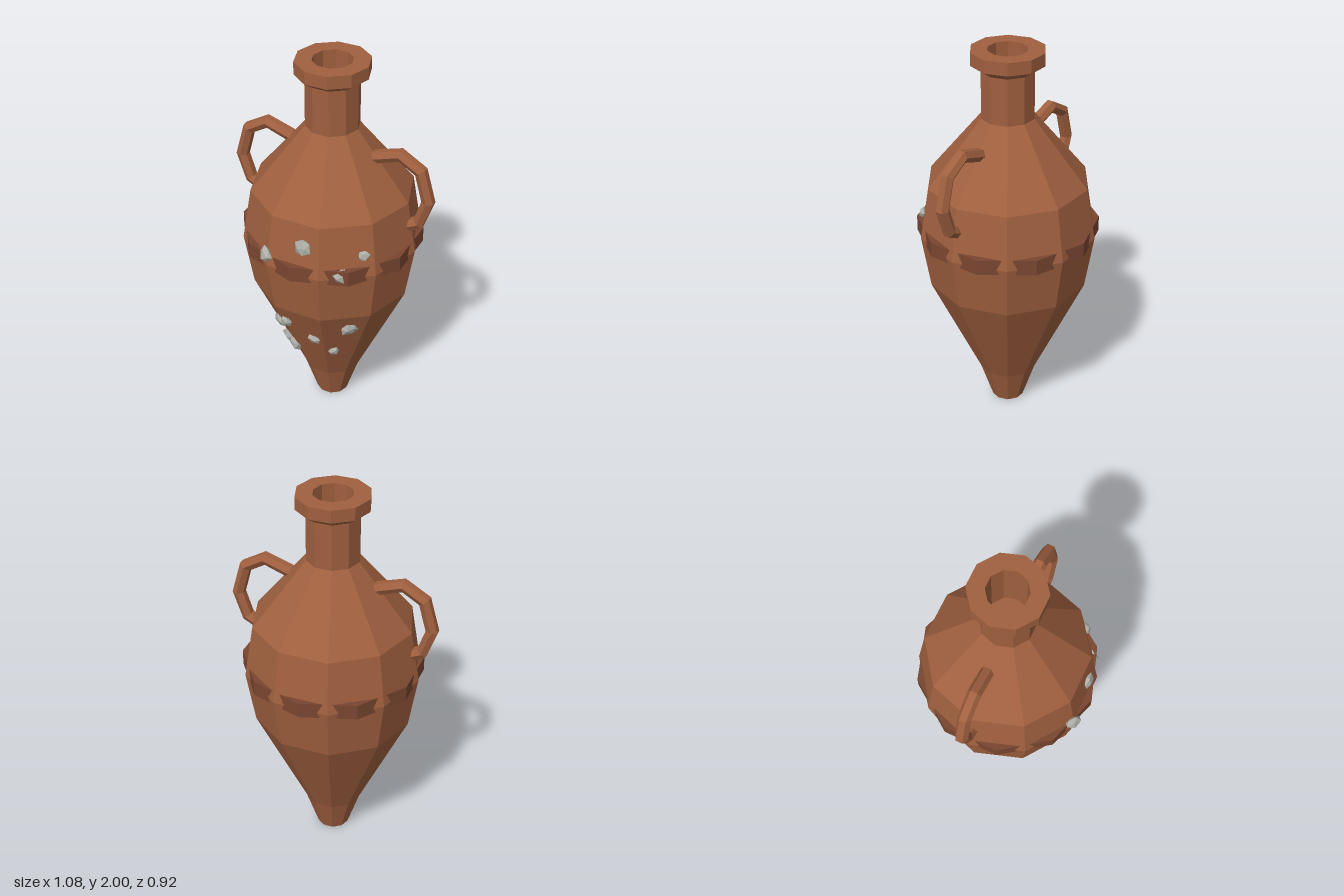
import * as THREE from 'three';

const clay = new THREE.MeshStandardMaterial({ color: 0xa0603f, flatShading: true, side: THREE.DoubleSide });
const darkClay = new THREE.MeshStandardMaterial({ color: 0x7a4630, flatShading: true });
const stone = new THREE.MeshStandardMaterial({ color: 0xb0b0aa, flatShading: true });

const SIDES = 10;
// outer wall as [radius, height], foot to shoulder
const WALL = [[0.085, 0], [0.15, 0.2], [0.41, 0.77], [0.455, 1.05], [0.41, 1.32], [0.135, 1.66]];
const NECK = [[0.135, 1.9], [0.185, 1.935], [0.185, 2], [0.1, 2], [0.1, 1.7], [0, 1.7]];

function add(parent, name, geometry, material) {
  const mesh = new THREE.Mesh(geometry, material);
  mesh.name = name;
  parent.add(mesh);
  return mesh;
}

// Curved handle: hexagonal bar through a few points, one ring at each point
function handleGeometry(side) {
  const points = [[0.225, 1.535], [0.36, 1.58], [0.468, 1.517], [0.512, 1.36], [0.467, 1.228], [0.4, 1.195]];
  const curve = new THREE.CatmullRomCurve3(points.map(([x, y]) => new THREE.Vector3(side * x, y, 0)));
  curve.getPointAt = curve.getPoint;
  curve.getTangentAt = curve.getTangent;
  return new THREE.TubeGeometry(curve, points.length - 1, 0.034, 6, false);
}

// Point and outward direction on the faceted front wall at a given x and y
function wallPoint(x, y) {
  const i = WALL.findIndex((p) => p[1] > y);
  const [r0, y0] = WALL[i - 1], [r1, y1] = WALL[i];
  const slope = (r1 - r0) / (y1 - y0);
  const apothem = (r0 + slope * (y - y0)) * Math.cos(Math.PI / SIDES);
  let z = Infinity, normal;
  for (let k = -2; k <= 2; k++) {
    const a = (k * 2 * Math.PI) / SIDES;
    const faceZ = (apothem - x * Math.sin(a)) / Math.cos(a);
    if (faceZ < z) {
      z = faceZ;
      normal = new THREE.Vector3(Math.sin(a), -slope, Math.cos(a)).normalize();
    }
  }
  return { position: new THREE.Vector3(x, y, z), normal };
}

// Lumpy pebble: icosahedron with its corners pushed in and out
function pebbleGeometry(seed) {
  const geometry = new THREE.IcosahedronGeometry(1, 0);
  const pos = geometry.attributes.position;
  const v = new THREE.Vector3();
  for (let i = 0; i < pos.count; i++) {
    v.fromBufferAttribute(pos, i);
    const k = 1 + 0.14 * Math.sin(seed * 2.3 + v.x * 5 + v.y * 7.7 + v.z * 11.3);
    pos.setXYZ(i, v.x * k, v.y * k, v.z * k);
  }
  geometry.computeVertexNormals();
  return geometry;
}

export function createModel() {
  const group = new THREE.Group();
  group.name = 'amphora';

  // Body, neck, lip and hollow mouth in one profile
  const profile = [[0, 0], ...WALL, ...NECK].map(([r, y]) => new THREE.Vector2(r, y));
  add(group, 'body', new THREE.LatheGeometry(profile, SIDES, Math.PI / 2), clay);

  // Belt turned half a facet, so only its corners break through the wall
  const belt = add(group, 'belt', new THREE.CylinderGeometry(0.461, 0.461, 0.08, SIDES), darkClay);
  belt.position.y = 1.062;

  add(group, 'leftHandle', handleGeometry(1), clay);
  add(group, 'rightHandle', handleGeometry(-1), clay);

  // Encrusted pebbles on the front: x, y, radius
  const pebbles = [
    [-0.145, 1.11, 0.048], [0.05, 1.205, 0.044], [0.31, 1.165, 0.033], [0.225, 1.07, 0.042],
    [-0.14, 0.625, 0.046], [-0.085, 0.67, 0.039], [0.225, 0.67, 0.047], [0.05, 0.565, 0.037],
    [0.12, 0.46, 0.033], [-0.15, 0.43, 0.05], [-0.095, 0.435, 0.048],
  ];
  const crust = new THREE.Group();
  crust.name = 'pebbles';
  group.add(crust);
  pebbles.forEach(([x, y, r], i) => {
    const { position, normal } = wallPoint(x, y);
    const pebble = add(crust, 'pebble', pebbleGeometry(i + 1), stone);
    pebble.position.copy(position).addScaledVector(normal, 0.008);
    pebble.lookAt(pebble.position.clone().add(normal));
    pebble.rotateZ(i * 1.7);
    pebble.scale.set(r, r * 0.92, r * 0.5);
  });

  return group;
}
